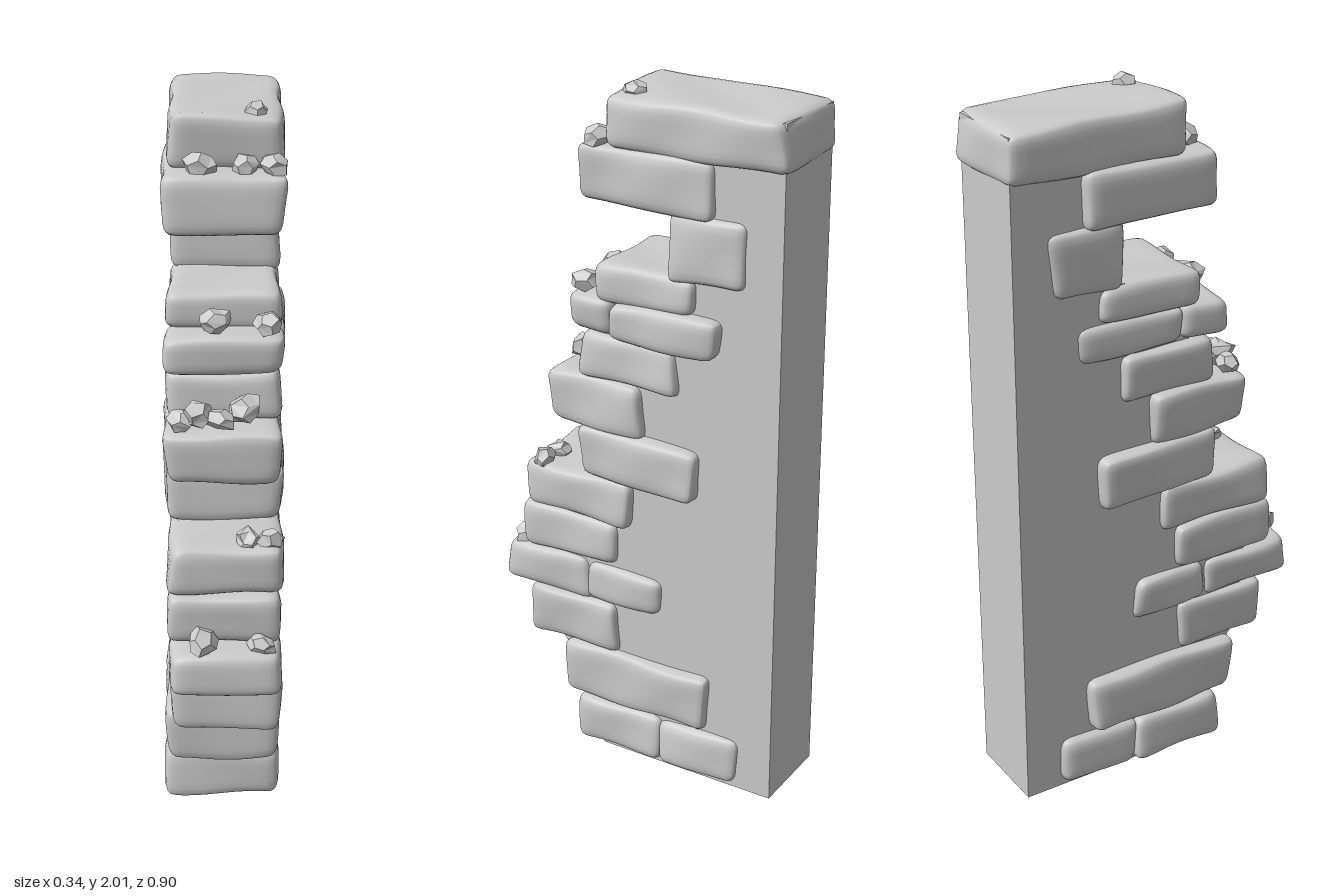
import * as THREE from 'three';
import { mergeVertices } from 'three/addons/utils/BufferGeometryUtils.js';

const material = new THREE.MeshStandardMaterial({ color: 0xcccccc });
const rubbleMaterial = new THREE.MeshStandardMaterial({ color: 0xcccccc, flatShading: true });

// Small seeded generator, returns -1..1
function seeded(seed) {
  let s = seed * 7919 + 17;
  const next = () => {
    s = (s * 16807) % 2147483647;
    return (s / 2147483647) * 2 - 1;
  };
  for (let i = 0; i < 4; i++) next();
  return next;
}

// Worn block: a fine box with rounded edges, uneven corners and a slight waviness
function stoneGeometry(w, h, d, seed) {
  const rand = seeded(seed);
  const corners = Array.from({ length: 8 }, () => [rand() * 0.009, rand() * 0.007, rand() * 0.009]);
  const phase = [rand() * 3, rand() * 3, rand() * 3];
  let geo = new THREE.BoxGeometry(2, 2, 2, 14, 10, 14);
  geo.deleteAttribute('uv');
  geo.deleteAttribute('normal');
  geo = mergeVertices(geo, 1e-4);
  const half = new THREE.Vector3(w / 2, h / 2, d / 2);
  const r = 0.03;
  const inner = half.clone().subScalar(r);
  const p = new THREE.Vector3(), c = new THREE.Vector3();
  const pos = geo.attributes.position;
  for (let i = 0; i < pos.count; i++) {
    p.fromBufferAttribute(pos, i);
    // crowd the grid towards the edges
    const u = ['x', 'y', 'z'].map((k) => Math.sin(p[k] * Math.PI / 2));
    p.set(u[0], u[1], u[2]).multiply(half);
    c.copy(p).clamp(inner.clone().negate(), inner);
    p.sub(c).setLength(r).add(c);
    // shift the corners
    corners.forEach((o, n) => {
      const k = (n & 1 ? 1 + u[0] : 1 - u[0]) * (n & 2 ? 1 + u[1] : 1 - u[1]) * (n & 4 ? 1 + u[2] : 1 - u[2]) / 8;
      p.x += o[0] * k;
      p.y += o[1] * k;
      p.z += o[2] * k;
    });
    p.x += 0.004 * u[0] * Math.sin(p.z * 22 + p.y * 17 + phase[0]);
    p.y += 0.003 * u[1] * Math.sin(p.x * 19 + p.z * 15 + phase[1]);
    p.z += 0.004 * u[2] * Math.sin(p.x * 20 + p.y * 18 + phase[2]);
    pos.setXYZ(i, p.x, p.y, p.z);
  }
  geo.computeVertexNormals();
  return geo;
}

// Angular chip of broken stone
function rubbleGeometry(r, seed) {
  const rand = seeded(seed);
  let geo = new THREE.DodecahedronGeometry(r, 0);
  geo.deleteAttribute('uv');
  geo.deleteAttribute('normal');
  geo = mergeVertices(geo, 1e-4);
  const pos = geo.attributes.position;
  for (let i = 0; i < pos.count; i++) {
    const k = 1 + rand() * 0.16;
    pos.setXYZ(i, pos.getX(i) * k * 0.95, pos.getY(i) * k * 0.8, pos.getZ(i) * k * 1.15);
  }
  geo = geo.toNonIndexed();
  geo.computeVertexNormals();
  return geo;
}

export function createModel() {
  const model = new THREE.Group();
  model.name = 'brokenWallEnd';

  // Plain wall core, flat at the back and ragged behind the stones: [z, y]
  const profile = [
    [-0.435, 0], [0.12, 0], [0.16, 0.2], [0.28, 0.36], [0.3, 0.6], [0.28, 0.86],
    [0.1, 0.9], [0.11, 1.28], [0.04, 1.49], [-0.18, 1.53], [-0.18, 1.68],
    [0, 1.71], [0.02, 1.95], [-0.435, 1.965],
  ];
  const shape = new THREE.Shape(profile.map(([z, y]) => new THREE.Vector2(z, y)));
  const coreGeo = new THREE.ExtrudeGeometry(shape, { depth: 0.25, bevelEnabled: false });
  coreGeo.rotateY(-Math.PI / 2).translate(0.125, 0, 0);
  const core = new THREE.Mesh(coreGeo, material);
  core.name = 'wallCore';
  model.add(core);

  // Stones: z front, z back, y bottom, y top, x centre, width
  const stones = [
    [0.2, -0.085, 0.008, 0.155, -0.005, 0.315],
    [-0.08, -0.33, 0.015, 0.155, 0, 0.3],
    [0.25, -0.23, 0.157, 0.33, -0.003, 0.32],
    [0.358, 0.062, 0.322, 0.485, 0.002, 0.295],
    [0.447, 0.16, 0.48, 0.603, 0, 0.295],
    [0.165, -0.077, 0.482, 0.607, 0, 0.3],
    [0.375, 0.063, 0.604, 0.747, 0, 0.305],
    [0.367, 0.015, 0.744, 0.88, 0, 0.3],
    [0.177, -0.195, 0.875, 1.032, -0.002, 0.33],
    [0.28, -0.025, 1.027, 1.183, -0.002, 0.31],
    [0.177, -0.126, 1.175, 1.312, 0, 0.3],
    [0.202, 0.068, 1.308, 1.42, -0.003, 0.31],
    [0.072, -0.254, 1.308, 1.42, 0.01, 0.31],
    [0.122, -0.185, 1.412, 1.517, 0, 0.3],
    [-0.108, -0.332, 1.505, 1.695, 0, 0.295],
    [0.17, -0.235, 1.685, 1.837, -0.005, 0.325],
    [0.085, -0.44, 1.833, 1.98, 0.002, 0.3],
  ];
  const masonry = new THREE.Group();
  masonry.name = 'stones';
  stones.forEach(([zf, zb, y0, y1, x, w], i) => {
    const stone = new THREE.Mesh(stoneGeometry(w, y1 - y0, zf - zb, i + 1), material);
    stone.name = 'stone' + (i + 1);
    stone.position.set(x, (y0 + y1) / 2, (zf + zb) / 2);
    masonry.add(stone);
  });
  model.add(masonry);

  // Chips lying on the ledges: x, y, z, radius
  const chips = [
    [0.085, 1.98, 0.025, 0.032],
    [-0.06, 1.86, 0.115, 0.042], [0.055, 1.85, 0.1, 0.036], [0.128, 1.86, 0.105, 0.038],
    [-0.025, 1.455, 0.165, 0.04], [0.115, 1.45, 0.165, 0.04],
    [-0.115, 1.205, 0.235, 0.036], [-0.07, 1.22, 0.23, 0.044], [-0.01, 1.21, 0.24, 0.038],
    [0.055, 1.23, 0.215, 0.044],
    [0.06, 0.89, 0.305, 0.036], [0.12, 0.89, 0.31, 0.036],
    [-0.06, 0.635, 0.4, 0.044], [0.1, 0.62, 0.395, 0.036],
  ];
  const rubble = new THREE.Group();
  rubble.name = 'rubble';
  chips.forEach(([x, y, z, r], i) => {
    const chip = new THREE.Mesh(rubbleGeometry(r, i + 40), rubbleMaterial);
    chip.name = 'chip' + (i + 1);
    chip.position.set(x, y, z);
    chip.rotation.set(i * 0.35 % 0.8, i * 1.3, i * 0.27 % 0.6);
    rubble.add(chip);
  });
  model.add(rubble);

  return model;
}
